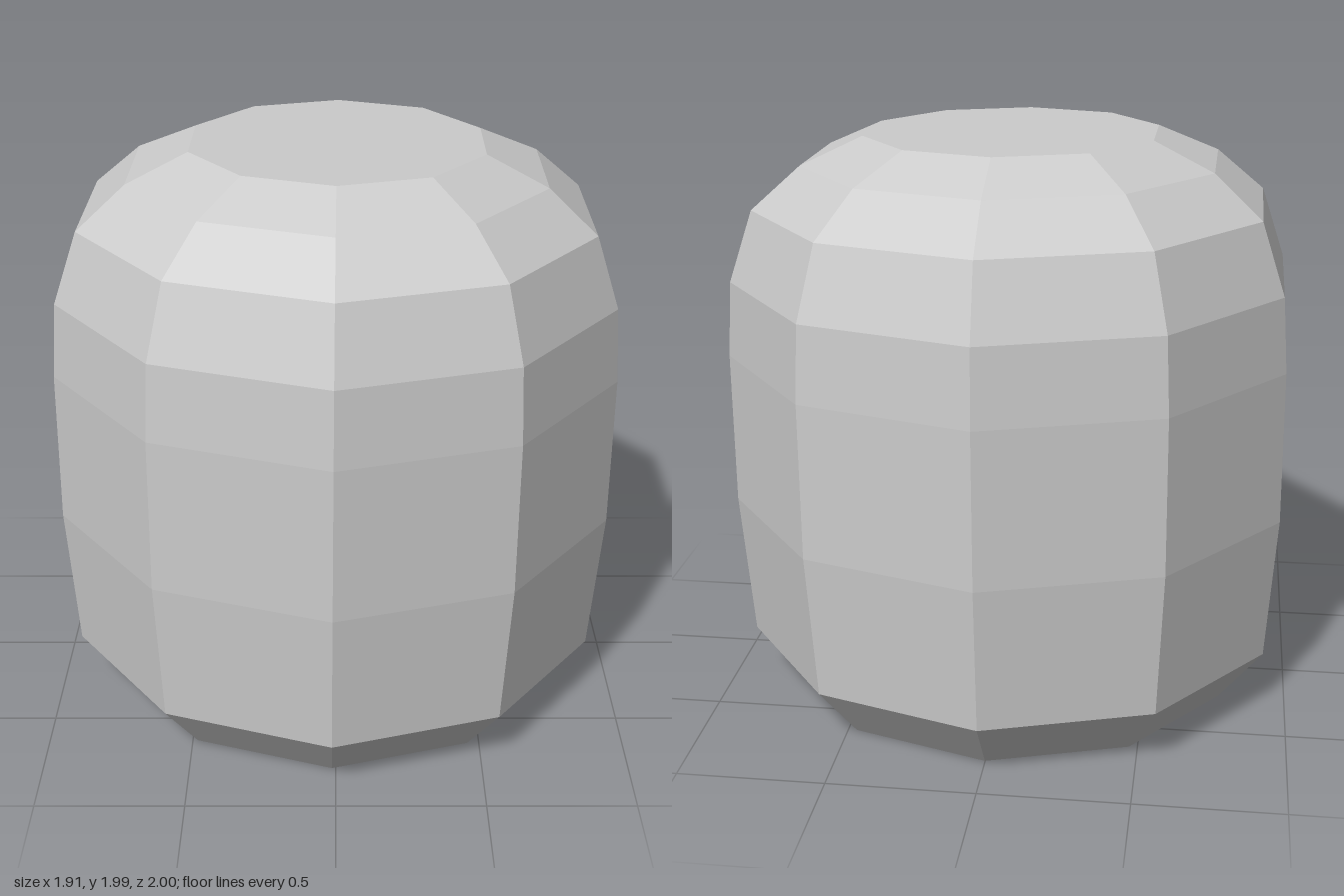
import * as THREE from 'three';

// Ten-sided barrel-like body, as [radius, height] from the base up.
const PROFILE = [
  [0, 0.005], [0.8, 0.005], [0.96, 0.205], [1, 0.71], [1, 1.24],
  [0.983, 1.5], [0.9, 1.745], [0.73, 1.89], [0.515, 1.983], [0, 1.983],
];
const MID = 1;

export function createModel() {
  const group = new THREE.Group();
  group.name = 'facetedBarrel';

  const points = PROFILE.map(([r, y]) => new THREE.Vector2(r, y - MID));
  const material = new THREE.MeshStandardMaterial({ color: 0xcccccc, flatShading: true });
  const body = new THREE.Mesh(new THREE.LatheGeometry(points, 10), material);
  body.name = 'body';

  // A hint of lean and turn about its middle.
  body.position.y = MID;
  body.rotation.set(0, -0.008, -0.0065);
  group.add(body);
  return group;
}
